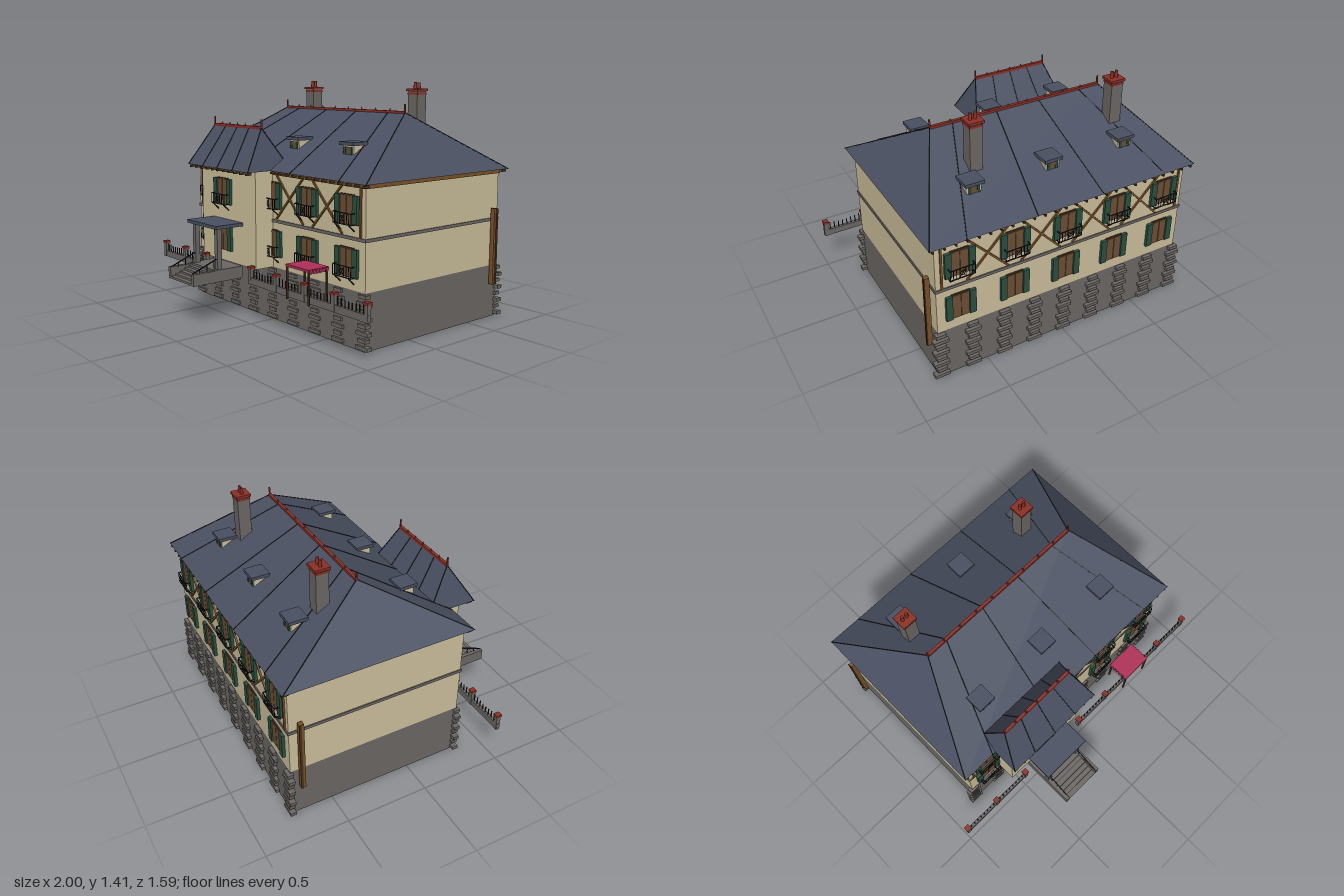
import * as THREE from 'three';

const mat = (name, color, side = THREE.FrontSide) => {
  const m = new THREE.MeshStandardMaterial({ color, side });
  m.name = name;
  return m;
};

export function createModel() {
  const plaster = mat('plaster', 0xcdc09c), stone = mat('stone', 0x6c6864), slate = mat('slate', 0x4a5062);
  const red = mat('red clay', 0x8c3026), green = mat('shutter green', 0x2a5040), wood = mat('window wood', 0x6e4f34);
  const timber = mat('timber', 0x7a5228), iron = mat('iron', 0x1c1c20), cloth = mat('awning cloth', 0xb03058, THREE.DoubleSide);
  const darkWood = mat('dark wood', 0x4a3520);
  const house = new THREE.Group();
  house.name = 'house';

  const add = (parent, name, geo, material, x = 0, y = 0, z = 0) => {
    const m = new THREE.Mesh(geo, material);
    m.name = name;
    m.position.set(x, y, z);
    parent.add(m);
    return m;
  };
  // Box given by its extents
  const box = (parent, name, material, x0, x1, y0, y1, z0, z1) =>
    add(parent, name, new THREE.BoxGeometry(x1 - x0, y1 - y0, z1 - z0), material,
      (x0 + x1) / 2, (y0 + y1) / 2, (z0 + z1) / 2);
  // Thin square bar between two points
  const up = new THREE.Vector3(0, 1, 0);
  const bar = (parent, name, material, a, b, t) => {
    const p = new THREE.Vector3(...a), d = new THREE.Vector3(...b).sub(p), len = d.length();
    const m = add(parent, name, new THREE.BoxGeometry(t, len, t), material);
    m.position.copy(p).addScaledVector(d, 0.5);
    m.quaternion.setFromUnitVectors(up, d.normalize());
    return m;
  };
  const group = (name, x = 0, y = 0, z = 0, turn = 0) => {
    const g = new THREE.Group();
    g.name = name;
    g.position.set(x, y, z);
    g.rotation.y = turn;
    house.add(g);
    return g;
  };

  // Walls
  box(house, 'foundation', stone, -0.8, 0.8, 0, 0.32, -0.75, 0.33);
  box(house, 'mainWalls', plaster, -0.8, 0.8, 0.32, 0.9, -0.75, 0.33);
  box(house, 'bayWalls', plaster, -0.57, 0, 0.32, 0.9, 0.33, 0.455);
  box(house, 'floorBand', stone, -0.806, 0.806, 0.592, 0.61, -0.756, 0.336);
  box(house, 'topBeam', timber, -0.806, 0.806, 0.874, 0.894, -0.756, 0.336);

  // Protruding stones in columns on the front and back of the foundation
  const stones = group('foundationStones');
  for (const z of [0.33, -0.75])
    for (let c = -4; c <= 4; c++)
      for (let r = 0; r < 8; r++) {
        const w = r % 2 ? 0.03 : 0.045, x = c * 0.2 * 0.985;
        box(stones, 'stone', stone, x - w, x + w, 0.012 + r * 0.04, 0.032 + r * 0.04, z - 0.022, z + 0.014);
      }

  // Hipped roof with seams, rafter tails and a red ridge
  const hipRoof = (name, cx, cz, hx, hz, rx, y0, y1, fractions, finials) => {
    const g = group(name, cx, 0, cz);
    const [A, B, C, D] = [[-hx, y0, hz], [hx, y0, hz], [hx, y0, -hz], [-hx, y0, -hz]];
    const [L, R] = [[-rx, y1, 0], [rx, y1, 0]];
    const tris = [A, B, R, A, R, L, C, D, L, C, L, R, B, C, R, D, A, L, A, D, C, A, C, B];
    const geo = new THREE.BufferGeometry();
    geo.setAttribute('position', new THREE.Float32BufferAttribute(tris.flat(), 3));
    geo.computeVertexNormals();
    add(g, 'roofSlopes', geo, slate);
    for (const s of [-1, 1]) {
      for (const f of [-1, ...fractions, 1])
        bar(g, 'seam', iron, [f * hx, y0, s * hz], [f * rx, y1, 0], 0.005);
      bar(g, 'ridgeSpike', red, [s * rx, y1, 0], [s * rx, y1 + 0.05, 0], 0.008);
      const n = Math.round(hx * 30);
      for (let i = 0; i <= n; i++) {
        const x = -hx + 0.02 + (i / n) * (hx - 0.02) * 2;
        if (s > 0 || cz < 0) box(g, 'rafterTail', darkWood, x - 0.005, x + 0.005, y0 - 0.018, y0 - 0.004,
          s > 0 ? hz - 0.04 : -hz, s > 0 ? hz : -hz + 0.04);
      }
    }
    box(g, 'ridge', red, -rx, rx, y1 - 0.008, y1 + 0.009, -0.009, 0.009);
    for (let i = 1; i < finials; i++)
      add(g, 'ridgeKnob', new THREE.ConeGeometry(0.01, 0.02, 4), red, -rx + (2 * rx * i) / finials, y1 + 0.015, 0);
  };
  hipRoof('mainRoof', 0, -0.21, 0.84, 0.58, 0.545, 0.9, 1.238, [-0.75, -0.25, 0.25, 0.75], 9);
  hipRoof('bayRoof', -0.29, 0.375, 0.32, 0.155, 0.245, 0.9, 1.145, [-0.5, 0, 0.5], 6);

  // Dormers on both slopes
  for (const back of [0, 1])
    for (const x of [-0.48, 0, 0.48]) {
      const g = group('dormer', x, 0, -0.21, back * Math.PI);
      box(g, 'dormerWalls', plaster, -0.045, 0.045, 0.99, 1.07, 0.27, 0.375);
      box(g, 'dormerRoof', slate, -0.057, 0.057, 1.068, 1.088, 0.28, 0.393);
      box(g, 'dormerWindow', wood, -0.017, 0.017, 1.018, 1.06, 0.375, 0.379);
      for (const s of [-1, 1])
        box(g, 'dormerShutter', green, s * 0.025 - 0.008, s * 0.025 + 0.008, 1.018, 1.06, 0.375, 0.382);
    }

  // Chimneys with two pots each
  for (const [x, z] of [[-0.51, -0.41], [0.41, -0.45]]) {
    const g = group('chimney', x, 0, z);
    box(g, 'stack', stone, -0.038, 0.038, 0.95, 1.36, -0.038, 0.038);
    box(g, 'lowerCap', red, -0.04, 0.04, 1.335, 1.348, -0.04, 0.04);
    box(g, 'cap', red, -0.046, 0.046, 1.355, 1.37, -0.046, 0.046);
    for (const s of [-1, 1])
      add(g, 'pot', new THREE.CylinderGeometry(0.009, 0.011, 0.04, 8), red, s * 0.015, 1.388, 0);
  }

  // Window with shutters and an optional iron balcony
  const windowUnit = (x, y, z, turn, balcony) => {
    const g = group('window', x, y, z, turn);
    box(g, 'windowFrame', darkWood, -0.055, 0.055, -0.078, 0.085, 0, 0.007);
    for (const s of [-1, 1]) {
      box(g, 'windowLeaf', wood, s > 0 ? 0.002 : -0.048, s > 0 ? 0.048 : -0.002, -0.072, 0.077, 0.006, 0.011);
      box(g, 'shutter', green, s * 0.07 - 0.019, s * 0.07 + 0.019, -0.075, 0.08, 0, 0.018);
    }
    if (!balcony) return;
    const w = 0.072, d = 0.042;
    for (const y of [-0.012, -0.072]) {
      bar(g, 'balconyRail', iron, [-w, y, d], [w, y, d], 0.005);
      for (const s of [-w, w]) bar(g, 'balconySideRail', iron, [s, y, 0], [s, y, d], 0.005);
    }
    for (let i = 0; i <= 8; i++) {
      const bx = -w + (i * w) / 4;
      if (i !== 4) bar(g, 'baluster', iron, [bx, -0.072, d], [bx, -0.012, d], 0.003);
    }
    for (const s of [-1, 1]) {
      bar(g, 'balconyCross', iron, [-0.02 * s, -0.07, d], [0.02 * s, -0.014, d], 0.003);
      bar(g, 'bracket', iron, [s * 0.055, -0.075, d], [s * 0.055, -0.11, 0.003], 0.006);
    }
    add(g, 'balconyRing', new THREE.TorusGeometry(0.015, 0.002, 4, 12), iron, 0, -0.042, d);
  };
  for (const x of [-0.66, -0.33, 0, 0.33, 0.66]) {
    const bay = x === -0.33, z = bay ? 0.455 : 0.33;
    windowUnit(x, 0.75, z, 0, true);
    windowUnit(x, 0.465, z, 0, !bay);
    windowUnit(x, 0.75, -0.75, Math.PI, true);
    windowUnit(x, 0.465, -0.75, Math.PI, false);
  }

  // Timber framing on the upper floor
  for (const z of [0.333, -0.753]) {
    const g = group('timberFrame', 0, 0, z);
    for (const s of [-1, 1]) {
      bar(g, 'cornerPost', timber, [s * 0.765, 0.61, 0], [s * 0.765, 0.88, 0], 0.012);
      for (const c of [-0.495, -0.165, 0.165, 0.495])
        bar(g, 'crossBrace', timber, [c - s * 0.125, 0.615, 0], [c + s * 0.125, 0.88, 0], 0.011);
    }
  }

  // Downpipes
  for (const s of [-1, 1]) {
    box(house, 'downpipe', timber, s * 0.825 - 0.014, s * 0.825 + 0.014, 0.21, 0.67, -0.704, -0.676);
    box(house, 'downpipeEdge', darkWood, s * 0.84 - 0.003, s * 0.84 + 0.003, 0.21, 0.67, -0.706, -0.692);
  }

  // Porch and steps
  const porch = group('porch');
  box(porch, 'porchRoof', slate, -0.45, -0.13, 0.562, 0.582, 0.455, 0.645);
  for (const x of [-0.405, -0.165]) {
    box(porch, 'porchColumn', stone, x - 0.015, x + 0.015, 0.31, 0.562, 0.595, 0.625);
    box(porch, 'stairSide', stone, x - (x < -0.3 ? 0.022 : 0.002), x + (x < -0.3 ? 0.002 : 0.022), 0.245, 0.315, 0.63, 0.795);
    bar(porch, 'handrail', iron, [x, 0.385, 0.61], [x, 0.315, 0.79], 0.006);
    for (let i = 0; i < 3; i++)
      bar(porch, 'railPost', iron, [x, 0.3, 0.64 + i * 0.05], [x, 0.373 - i * 0.0195, 0.64 + i * 0.05], 0.004);
  }
  box(porch, 'landing', stone, -0.427, -0.143, 0.245, 0.318, 0.455, 0.645);
  for (let i = 0; i < 5; i++)
    box(porch, 'step', stone, -0.405, -0.165, 0.245, 0.306 - i * 0.012, 0.64, 0.672 + i * 0.0305);

  // Front fence
  const fence = group('fence');
  const posts = [-0.985, -0.74, -0.49, -0.005, 0.24, 0.49, 0.735, 0.985];
  for (const [a, b] of [[-1, -0.48], [-0.02, 1]])
    box(fence, 'fenceWall', stone, a, b, 0.24, 0.28, 0.478, 0.498);
  posts.forEach((x, i) => {
    box(fence, 'fencePost', stone, x - 0.013, x + 0.013, 0.24, 0.332, 0.475, 0.501);
    box(fence, 'postCap', red, x - 0.017, x + 0.017, 0.332, 0.346, 0.471, 0.505);
    if (i === 2 || i === 7) return;
    for (let k = 1; k < 9; k++) {
      const px = x + (k * (posts[i + 1] - x)) / 9;
      bar(fence, 'picket', iron, [px, 0.28, 0.488], [px, 0.315 + 0.015 * Math.abs(k - 4.5) / 4, 0.488], 0.005);
    }
  });

  // Awning on four legs
  const awning = group('awning');
  box(awning, 'awningTop', cloth, 0.38, 0.577, 0.422, 0.436, 0.39, 0.53);
  for (const x of [0.385, 0.572])
    for (const z of [0.4, 0.524])
      box(awning, 'awningLeg', darkWood, x - 0.005, x + 0.005, 0.24, 0.424, z - 0.005, z + 0.005);
  for (const x of [0.378, 0.579])
    for (let i = 0; i < 6; i++)
      box(awning, 'awningTab', cloth, x - 0.003, x + 0.003, 0.412, 0.434, 0.395 + i * 0.023, 0.41 + i * 0.023);
  return house;
}
